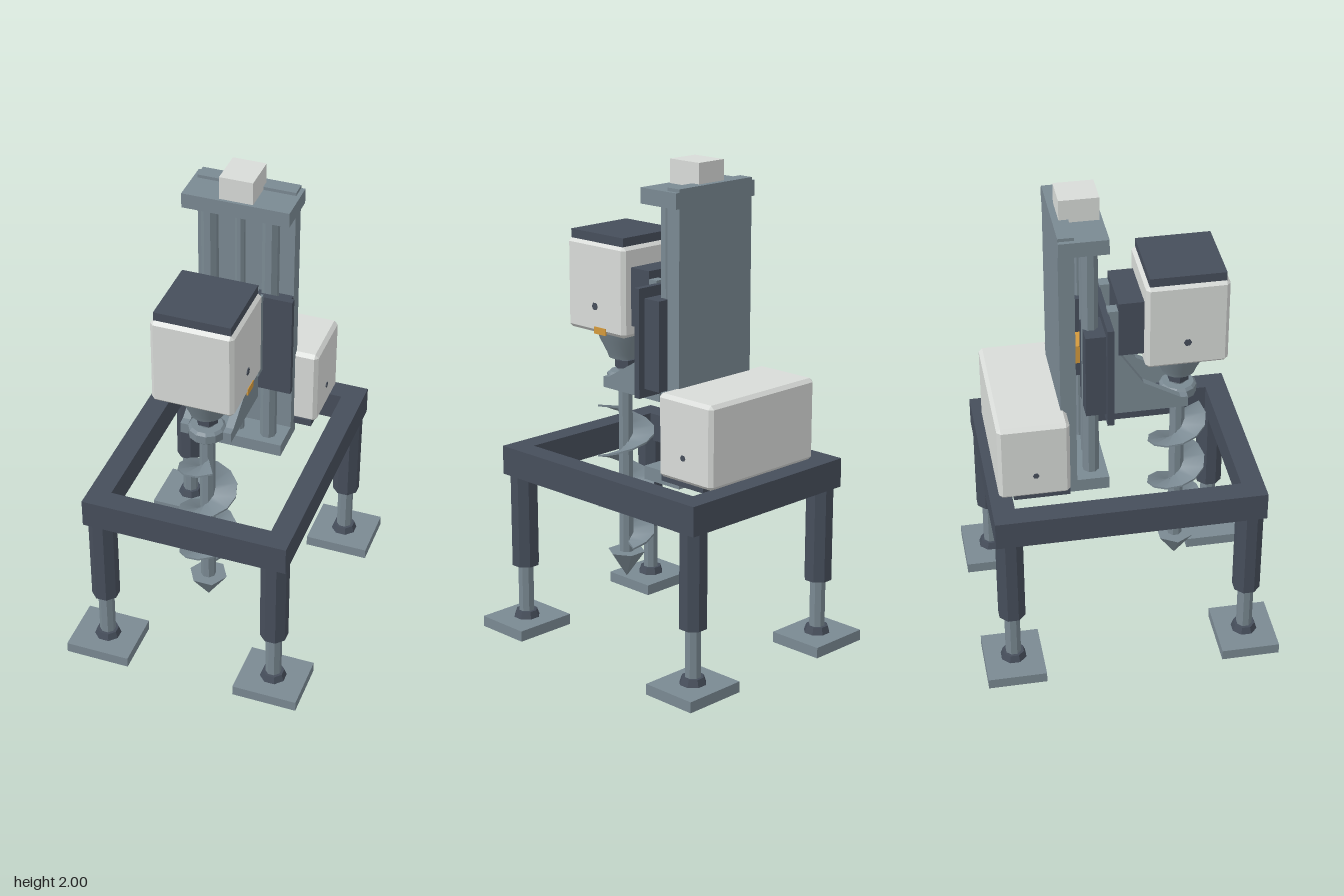
import * as THREE from 'three';
import { ConvexGeometry } from 'three/addons/geometries/ConvexGeometry.js';
import { toCreasedNormals } from 'three/addons/utils/BufferGeometryUtils.js';

const mat = (name, color) => {
  const m = new THREE.MeshStandardMaterial({ color });
  m.name = name;
  return m;
};

export function createModel() {
  const steel = mat('steel', 0x7a8992);
  const dark = mat('darkFrame', 0x464e5b);
  const pale = mat('paleHousing', 0xd8dbd8);
  const orange = mat('orangeMarker', 0xd4993c);
  const root = new THREE.Group();
  root.name = 'drillRig';

  const add = (name, geo, material, parent = root) => {
    const mesh = new THREE.Mesh(geo, material);
    mesh.name = name;
    parent.add(mesh);
    return mesh;
  };
  const points = list => list.map(p => new THREE.Vector2(...p));
  // Box given by its limits on each axis
  const box = (name, m, x0, x1, y0, y1, z0, z1, parent) =>
    add(name, new THREE.BoxGeometry(x1 - x0, y1 - y0, z1 - z0)
      .translate((x0 + x1) / 2, (y0 + y1) / 2, (z0 + z1) / 2), m, parent);
  // Faceted upright prism or frustum; one flat side faces the front
  const prism = (name, m, x, z, y0, y1, r0, r1, sides, parent, turn = Math.PI / sides) => {
    const g = new THREE.CylinderGeometry(r1, r0, y1 - y0, sides)
      .rotateY(turn).translate(x, (y0 + y1) / 2, z).toNonIndexed();
    g.computeVertexNormals();
    return add(name, g, m, parent);
  };
  // Box with chamfered edges
  const chamferBox = (name, m, w, h, d, c, x, y, z) => {
    const pts = [];
    for (const i of [-1, 1]) for (const j of [-1, 1]) for (const k of [-1, 1]) {
      const [a, b, e] = [i * w / 2, j * h / 2, k * d / 2];
      pts.push(new THREE.Vector3(a, b - j * c, e - k * c),
        new THREE.Vector3(a - i * c, b, e - k * c),
        new THREE.Vector3(a - i * c, b - j * c, e));
    }
    return add(name, new ConvexGeometry(pts).translate(x, y, z), m);
  };

  // Rectangular base frame
  const outline = new THREE.Shape(points([[-0.425, -0.545], [0.425, -0.545], [0.425, 0.545], [-0.425, 0.545]]));
  outline.holes.push(new THREE.Path(points([[-0.335, -0.455], [-0.335, 0.455], [0.335, 0.455], [0.335, -0.455]])));
  add('baseFrame', new THREE.ExtrudeGeometry(outline, { depth: 0.12, bevelEnabled: false })
    .rotateX(-Math.PI / 2).translate(0, 0.67, 0), dark);

  // Four telescopic legs with foot pads
  for (const sx of [-1, 1]) for (const sz of [-1, 1]) {
    const leg = new THREE.Group();
    leg.name = 'leg';
    root.add(leg);
    const x = sx * 0.365, z = sz * 0.487;
    prism('legSleeve', dark, x, z, 0.277, 0.68, 0.0575, 0.0575, 8, leg);
    prism('legRod', steel, x, z, 0.04, 0.29, 0.033, 0.033, 8, leg);
    prism('ankleCollar', dark, x, z, 0.045, 0.074, 0.055, 0.045, 8, leg);
    box('footPad', steel, x - 0.135, x + 0.135, 0, 0.045, z - 0.12, z + 0.12, leg);
  }

  // Power unit on the rear beam
  box('powerUnitBase', dark, -0.275, 0.275, 0.785, 0.815, -0.45, -0.225);
  chamferBox('powerUnit', pale, 0.59, 0.335, 0.285, 0.015, 0, 0.975, -0.367);

  // Mast with end slabs, rails and lead screw
  box('mastBackPlate', steel, -0.2, 0.2, 0.74, 1.918, -0.247, -0.185);
  box('mastTopSlab', steel, -0.217, 0.217, 1.843, 1.905, -0.247, -0.055);
  box('mastBottomSlab', steel, -0.2, 0.2, 0.735, 0.79, -0.247, -0.055);
  box('feedMotor', pale, -0.068, 0.068, 1.905, 2.0, -0.222, -0.067);
  prism('leadScrew', steel, 0, -0.118, 0.78, 1.85, 0.02, 0.02, 8);
  box('leadNut', orange, -0.05, 0.05, 1.253, 1.333, -0.17, -0.066);

  // Carriage plate and motor mount
  box('carriagePlate', dark, -0.24, 0.24, 1.075, 1.515, -0.068, -0.042);
  box('motorMount', dark, -0.123, 0.123, 1.32, 1.557, -0.005, 0.1);

  // Paired rails, guide blocks, ribs and arm gussets
  const gusset = new THREE.Shape(points([[-0.043, 1.03], [0.28, 1.03], [0.28, 1.075], [0.25, 1.078],
    [0.1, 1.165], [0.005, 1.31], [-0.043, 1.31]]));
  for (const s of [-1, 1]) {
    prism('mastRail', steel, s * 0.125, -0.118, 0.78, 1.85, 0.034, 0.034, 8);
    box('guideBlock', dark, s * 0.14 - 0.07, s * 0.14 + 0.07, 1.11, 1.473, -0.148, -0.065);
    box('carriageRib', steel, s * 0.098 - 0.024, s * 0.098 + 0.024, 1.165, 1.525, -0.045, 0.005);
    add('armGusset', new THREE.ExtrudeGeometry(gusset, { depth: 0.032, bevelEnabled: false })
      .translate(0, 0, -0.016).rotateY(-Math.PI / 2).translate(s * 0.089, 0, 0), steel);
  }

  // Drill head on the auger axis
  const az = 0.26;
  chamferBox('drillMotor', pale, 0.332, 0.37, 0.328, 0.015, 0, 1.456, az);
  box('drillMotorCap', dark, -0.153, 0.153, 1.635, 1.675, az - 0.15, az + 0.15);
  box('motorTag', orange, 0.163, 0.169, 1.268, 1.297, 0.198, 0.264);
  const cone = [[0, 1.145], [0.068, 1.145], [0.075, 1.165], [0.105, 1.225], [0.122, 1.275]];
  add('gearCone', toCreasedNormals(new THREE.LatheGeometry(points(cone), 24), 0.6)
    .translate(0, 0, az), steel);
  prism('chuckNut', dark, 0, az, 1.1, 1.133, 0.045, 0.045, 6, root, Math.PI / 6);
  prism('guideRing', steel, 0, az, 1.04, 1.075, 0.075, 0.075, 12);
  prism('guideRingTop', steel, 0, az, 1.075, 1.086, 0.075, 0.064, 12);
  prism('guideRingBottom', steel, 0, az, 1.03, 1.04, 0.064, 0.075, 12);

  // Side fasteners on both housings
  for (const [y, z, hx, k] of [[1.38, az, 0.166, 1], [0.91, -0.362, 0.295, 0.8]]) {
    for (const s of [-1, 1]) {
      const g = new THREE.CylinderGeometry(0.016 * k, 0.016 * k, 0.006, 6).rotateZ(Math.PI / 2).toNonIndexed();
      g.computeVertexNormals();
      add('fastener', g.translate(s * hx, y, z), dark);
    }
  }

  // Auger shaft and pointed tip
  prism('augerShaft', steel, 0, az, 0.28, 1.16, 0.031, 0.031, 8);
  prism('augerTip', steel, 0, az, 0.185, 0.3, 0.0001, 0.08, 6, root, Math.PI / 6);

  // Helical flight built from four-point sections, twelve per turn
  const steps = 32, pos = [], idx = [];
  for (let i = 0; i <= steps; i++) {
    const a = (i - 7) * Math.PI / 6;
    const y = 0.472 + 0.217 * a / (2 * Math.PI);
    // Section: inner bottom, outer bottom, outer top, inner top
    for (const [r, dy] of [[0.025, -0.006], [0.12, -0.004], [0.12, 0.004], [0.025, 0.006]])
      pos.push(r * Math.sin(a), y + dy, az + r * Math.cos(a));
    if (i === steps) break;
    for (let k = 0; k < 4; k++) {
      const p = i * 4 + k, q = i * 4 + (k + 1) % 4;
      idx.push(p, p + 4, q, q, p + 4, q + 4);
    }
  }
  const e = steps * 4;
  idx.push(0, 1, 2, 0, 2, 3, e, e + 2, e + 1, e, e + 3, e + 2);
  const flight = new THREE.BufferGeometry();
  flight.setAttribute('position', new THREE.Float32BufferAttribute(pos, 3));
  flight.setIndex(idx);
  add('augerFlight', toCreasedNormals(flight, 0.9), steel);

  return root;
}
